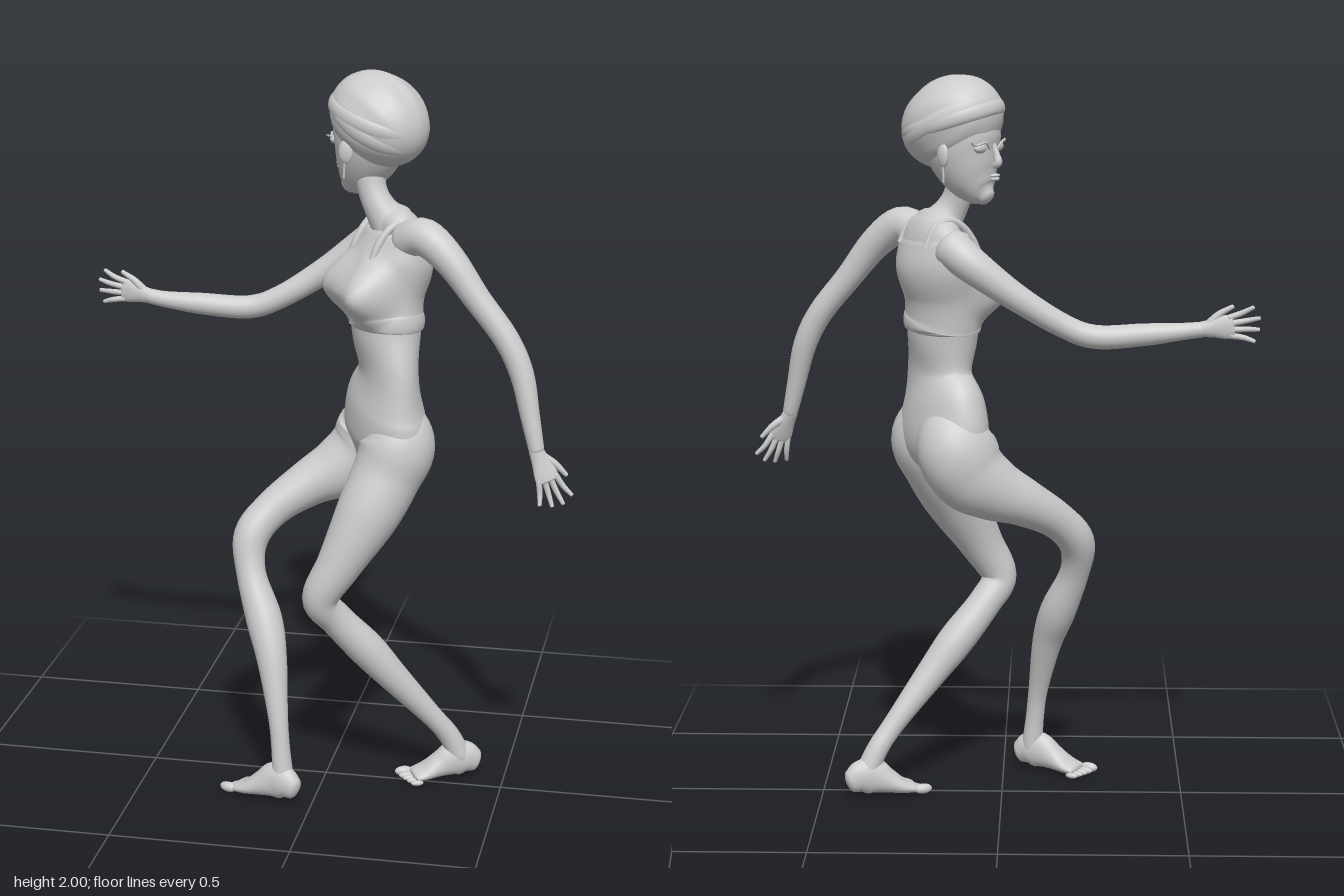
import * as THREE from 'three';

const mat = new THREE.MeshStandardMaterial({ color: 0xcccccc, roughness: 0.8, side: THREE.DoubleSide });
const V = (x, y, z) => new THREE.Vector3(x, y, z);

function add(parent, name, geo) {
  const m = new THREE.Mesh(geo, mat);
  m.name = name;
  parent.add(m);
  return m;
}

// Smooth skin through elliptical sections [x, y, z, a, b, yaw]; a lies along the yaw direction.
function loft(rows, { sides = 28, steps = 5, dome = 0.6 } = {}) {
  const path = new THREE.CatmullRomCurve3(rows.map(r => V(r[0], r[1], r[2])), false, 'catmullrom');
  const dims = new THREE.CatmullRomCurve3(rows.map(r => V(r[3], r[4] ?? r[3], r[5] ?? 0)), false, 'catmullrom');
  const n = (rows.length - 1) * steps, rings = [];
  const ring = (t, k, out) => {
    const d = dims.getPoint(t), T = path.getTangent(t);
    const c = path.getPoint(t).addScaledVector(T, out * Math.min(d.x, d.y) * dome);
    const s = V(Math.sin(d.z), 0, Math.cos(d.z));
    s.addScaledVector(T, -s.dot(T)).normalize();
    rings.push({ c, s, w: T.clone().cross(s), a: d.x * k, b: d.y * k });
  };
  const caps = [0, 0.4, 0.8, 1.2, Math.PI / 2];
  [...caps].reverse().forEach(q => q && ring(0, Math.max(Math.cos(q), 1e-4), -Math.sin(q)));
  for (let i = 0; i <= n; i++) ring(i / n, 1, 0);
  caps.forEach(q => q && ring(1, Math.max(Math.cos(q), 1e-4), Math.sin(q)));
  const pos = [], idx = [];
  rings.forEach((r, i) => {
    for (let j = 0; j < sides; j++) {
      const q = j / sides * Math.PI * 2;
      const p = r.c.clone().addScaledVector(r.s, r.a * Math.cos(q)).addScaledVector(r.w, r.b * Math.sin(q));
      pos.push(p.x, p.y, p.z);
      if (i < rings.length - 1) {
        const A = i * sides + j, B = i * sides + (j + 1) % sides;
        idx.push(A, B, B + sides, A, B + sides, A + sides);
      }
    }
  });
  const g = new THREE.BufferGeometry();
  g.setAttribute('position', new THREE.Float32BufferAttribute(pos, 3));
  g.setIndex(idx);
  g.computeVertexNormals();
  return g;
}

// Push the skin softly outwards around points: [centre, push, radius].
function swell(geo, bumps) {
  const p = geo.attributes.position, v = V(0, 0, 0);
  for (let i = 0; i < p.count; i++) {
    v.fromBufferAttribute(p, i);
    const move = V(0, 0, 0);
    for (const [c, push, r] of bumps) {
      const k = Math.max(0, 1 - v.distanceToSquared(V(...c)) / (r * r));
      move.addScaledVector(V(...push), k * k);
    }
    v.add(move);
    p.setXYZ(i, v.x, v.y, v.z);
  }
  geo.computeVertexNormals();
  return geo;
}

function ball(parent, name, p, s, yaw = 0) {
  const m = add(parent, name, new THREE.SphereGeometry(1, 32, 20));
  m.position.set(...p);
  m.scale.set(...s);
  m.rotation.y = yaw;
}

const tube = (pts, r) => new THREE.TubeGeometry(
  new THREE.CatmullRomCurve3(pts.map(p => V(...p))), 24, r, 8);

// Hand: d points to the fingertips, s to the thumb side.
function hand(parent, name, wrist, d, s) {
  const g = new THREE.Group(), q = Math.PI / 2;
  g.name = name;
  const X = V(...s), Z = V(...d).normalize(), Y = Z.clone().cross(X).normalize();
  X.copy(Y).cross(Z);
  g.applyMatrix4(new THREE.Matrix4().makeBasis(X, Y, Z).setPosition(...wrist));
  add(g, 'palm', loft([[0, 0, -0.015, .02, .019, q], [0, 0, .02, .025, .015, q], [0, 0, .055, .032, .012, q],
    [0, 0, .072, .03, .01, q]], { sides: 20 }));
  for (let i = 0; i < 4; i++) {
    const k = i - 1.5, l = [.055, .07, .075, .062][i];
    add(g, 'finger', loft([[k * .016, 0, .065, .0085], [k * .022, -.006, .07 + l * .5, .0075],
      [k * .03, -.004, .07 + l, .0055]].map(r => [...r, r[3], q]), { sides: 10 }));
  }
  add(g, 'thumb', loft([[.012, 0, .01, .012], [.035, -.004, .04, .0095], [.052, -.006, .078, .006]]
    .map(r => [...r, r[3], q]), { sides: 10 }));
  parent.add(g);
}

// Foot with the heel behind its origin; inner is the big toe side along local x.
function foot(parent, name, x, z, dx, dz, inner) {
  const g = new THREE.Group(), q = Math.PI / 2;
  g.name = name;
  g.position.set(x, 0, z);
  g.rotation.y = Math.atan2(dx, dz);
  add(g, 'sole', loft([[0, .05, -.026, .025, .034, q], [0, .06, .002, .032, .048, q], [0, .06, .035, .034, .052, q],
    [inner * .003, .043, .075, .037, .036, q], [inner * .003, .026, .115, .043, .022, q],
    [0, .018, .147, .043, .015, q]], { sides: 24 }));
  for (let i = 0; i < 5; i++) {
    const r = i ? .0105 - i * .0007 : .014;
    ball(g, 'toe', [inner * (.032 - i * .0175 - (i ? .003 : 0)), r + .002, .172 - i * .006], [r, r, .026 - i * .002]);
  }
  parent.add(g);
}

function makeHead(parent) {
  const h = new THREE.Group(), q = Math.PI / 2;
  h.name = 'head';
  h.position.set(.107, 1.855, -.092);
  h.rotation.y = Math.atan2(-.87, -.5);
  add(h, 'face', loft([[0, -.172, .078, .026, .026, q], [0, -.155, .06, .048, .049, q], [0, -.12, .036, .072, .075, q],
    [0, -.07, .014, .09, .096, q], [0, -.02, .002, .097, .108, q], [0, .04, -.005, .095, .1, q],
    [0, .075, -.015, .075, .075, q]], { sides: 36 }));
  // hair swept down to the nape, with shallow strands
  const hair = new THREE.SphereGeometry(1, 72, 36), p = hair.attributes.position;
  for (let i = 0; i < p.count; i++) {
    const k = 1 + .012 * Math.sin(12 * Math.atan2(p.getY(i), p.getX(i))) * (1 - p.getZ(i) ** 2);
    p.setXYZ(i, p.getX(i) * k, p.getY(i) * k, p.getZ(i));
  }
  hair.computeVertexNormals();
  const cap = add(h, 'hair', hair);
  cap.scale.set(.122, .117, .146);
  cap.position.set(0, .02, -.025);
  cap.rotation.x = -.5;
  // two flat crossing headband wraps
  [[.3, .07], [.5, -.03]].forEach(([tilt, roll], i) => {
    const b = add(h, 'headband', new THREE.TorusGeometry(.115, .011, 12, 60));
    b.scale.set(1.01, 1.16, 2);
    b.position.set(0, .024 - i * .008, -.022);
    b.rotation.set(Math.PI / 2 - tilt, roll, 0);
  });
  add(h, 'nose', loft([[0, -.035, .101, .007, .008, q], [0, -.062, .111, .008, .01, q],
    [0, -.08, .116, .011, .011, q], [0, -.09, .106, .009, .009, q]], { sides: 14 }));
  ball(h, 'upperLip', [0, -.115, .107], [.02, .005, .009]);
  ball(h, 'lowerLip', [0, -.124, .107], [.017, .006, .009]);
  for (const s of [-1, 1]) {
    ball(h, 'eye', [s * .043, -.042, .087], [.023, .014, .014]);
    add(h, 'eyelid', tube([[s * .02, -.045, .102], [s * .042, -.027, .104], [s * .066, -.034, .088], [s * .084, -.026, .086]], .003));
    ball(h, 'ear', [s * .099, -.06, .008], [.011, .032, .02], s * .35);
    add(h, 'earring', tube([[s * .102, -.088, .01], [s * .102, -.13, .012]], .003));
  }
  parent.add(h);
}

export function createModel() {
  const root = new THREE.Group();
  root.name = 'posedFigure';

  // trunk; the hips are finished by the tops of the legs
  add(root, 'torso', loft([
    [.14, .94, -.05, .08, .065, .55], [.155, 1.01, -.046, .165, .098, .55], [.158, 1.1, -.036, .166, .096, .53],
    [.168, 1.2, -.02, .127, .074, .5], [.16, 1.3, -.03, .113, .09, .5], [.155, 1.4, -.042, .118, .094, .55],
    [.17, 1.5, -.06, .135, .098, .57], [.18, 1.57, -.066, .13, .068, .57],
    [.17, 1.615, -.06, .08, .05, .5]], { sides: 56, steps: 8 }));
  add(root, 'neck', loft([[.17, 1.59, -.06, .06], [.135, 1.64, -.057, .043], [.112, 1.69, -.065, .039], [.1, 1.76, -.08, .045]]));

  // cropped top with a raised hem, filled bust and neckline edging
  const top = loft([
    [.16, 1.322, -.032, .118, .094, .5], [.16, 1.335, -.033, .124, .1, .5], [.157, 1.36, -.037, .122, .097, .52],
    [.156, 1.42, -.044, .126, .101, .55], [.17, 1.5, -.06, .14, .103, .57], [.18, 1.572, -.066, .133, .073, .57]],
    { sides: 64, steps: 7, dome: .15 });
  add(root, 'croppedTop', swell(top, [[[.11, 1.435, .07], [-.036, -.004, .07], .115],
    [[.037, 1.435, -.05], [-.07, -.004, .006], .115]]));
  const f = [-.84, .54], s = [.54, .84];
  for (const k of [-1, 1]) {
    const at = (fw, y) => [.175 + f[0] * fw + s[0] * k * .068, y, -.065 + f[1] * fw + s[1] * k * .068];
    add(root, 'shoulderStrap', tube([at(.1, 1.5), at(.075, 1.56), at(.04, 1.602), at(0, 1.618),
      at(-.04, 1.602), at(-.068, 1.55)], .011));
  }

  // arms and hands
  add(root, 'leftArm', loft([[.22, 1.57, .01, .05], [.275, 1.587, .045, .05], [.345, 1.535, .07, .043], [.42, 1.44, .087, .036],
    [.5, 1.34, .1, .034], [.545, 1.25, .112, .032], [.572, 1.14, .13, .026], [.592, 1.055, .143, .021]]));
  hand(root, 'leftHand', [.597, 1.04, .145], [.4, -.88, .14], [.85, .35, -.4]);
  add(root, 'rightArm', loft([[.13, 1.55, -.155, .053], [.07, 1.505, -.186, .047], [-.04, 1.425, -.185, .037], [-.16, 1.35, -.17, .032],
    [-.25, 1.317, -.165, .032], [-.38, 1.322, -.155, .03], [-.48, 1.33, -.15, .023], [-.53, 1.336, -.155, .021]]));
  hand(root, 'rightHand', [-.54, 1.338, -.156], [-.97, .12, -.18], [.1, .98, 0]);

  // legs, starting inside the waist and shaping hips and buttocks
  const legs = { sides: 40, steps: 6 };
  add(root, 'rightLeg', loft([[.135, 1.1, -.075, .075, .07, .55], [.122, 1.015, -.122, .1, .108, .55],
    [.085, .94, -.12, .094, .106, .5], [.02, .89, -.1, .083, .087, .3], [-.06, .848, -.07, .068, .066, 0],
    [-.15, .787, -.02, .052], [-.205, .715, .025, .05], [-.2, .62, .06, .041], [-.155, .5, .1, .05], [-.125, .4, .14, .042],
    [-.1, .25, .18, .028], [-.09, .16, .193, .026], [-.082, .07, .2, .03]], legs));
  foot(root, 'rightFoot', -.073, .207, -.93, -.37, 1);
  add(root, 'leftLeg', loft([[.185, 1.1, .005, .075, .07, .55], [.203, 1.01, .026, .1, .102, .55],
    [.176, .925, .048, .095, .095, .45], [.132, .825, .09, .085, .087, .2], [.063, .69, .13, .062, .062, 0],
    [.012, .59, .142, .05], [.05, .52, .11, .046], [.13, .42, .07, .05], [.2, .33, .04, .042],
    [.3, .2, -.01, .03], [.345, .135, -.035, .03], [.375, .07, -.048, .032]], legs));
  foot(root, 'leftFoot', .392, -.057, -.93, .36, -1);

  makeHead(root);
  return root;
}
